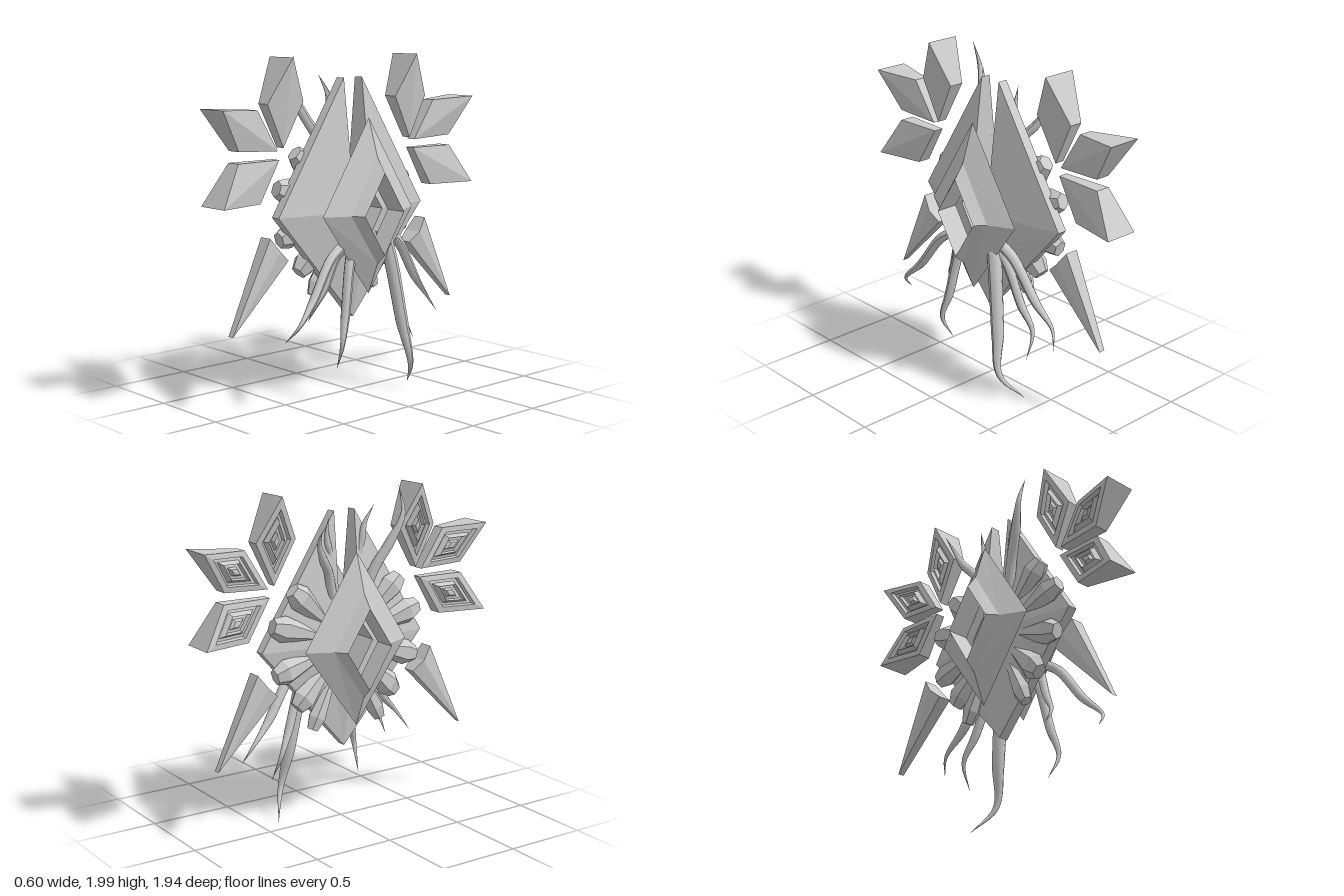
import * as THREE from 'three';

const V = (x, y, z) => new THREE.Vector3(x, y, z);
const flatGrey = () => new THREE.MeshStandardMaterial({ color: 0xcccccc, flatShading: true });

function addMesh(parent, name, geometry, material) {
  const mesh = new THREE.Mesh(geometry, material);
  mesh.name = name;
  parent.add(mesh);
  return mesh;
}

// Faceted solid through a list of equal point rings; closed loop or capped ends
function loft(rings, closed = false) {
  const tris = [], n = rings[0].length, count = closed ? rings.length : rings.length - 1;
  for (let i = 0; i < count; i++) {
    const a = rings[i], b = rings[(i + 1) % rings.length];
    for (let j = 0; j < n; j++) {
      const k = (j + 1) % n;
      tris.push([a[j], b[j], b[k]], [a[j], b[k], a[k]]);
    }
  }
  if (!closed) {
    const a = rings[0], b = rings[rings.length - 1];
    for (let j = 1; j < n - 1; j++) tris.push([a[0], a[j], a[j + 1]], [b[0], b[j + 1], b[j]]);
  }
  // Turn all faces outward using the signed volume
  const volume = tris.reduce((s, [a, b, c]) => s + a.dot(b.clone().cross(c)), 0);
  if (volume < 0) tris.forEach((t) => t.reverse());
  const geometry = new THREE.BufferGeometry().setFromPoints(tris.flat());
  geometry.computeVertexNormals();
  return geometry;
}

// Carved shard: a parallelogram from its tip, one side corner and inner end [z, y],
// thick at the tip and thin at the inner end, with nested recesses on the back
function carvedShard(tip, sideCorner, inner, mirror) {
  const mid = [0, 1].map((i) => (tip[i] + inner[i]) / 2);
  const opposite = [0, 1].map((i) => 2 * mid[i] - sideCorner[i]);
  const thickness = [0.104, 0.04, 0.03, 0.045];
  const ring = (scale, sign, depth) => [tip, sideCorner, inner, opposite].map(([z, y], i) => {
    const half = 0.067 + (thickness[i] - 0.067) * scale;
    return V(-0.038 + sign * (half - depth), mid[1] + (y - mid[1]) * scale, (mid[0] + (z - mid[0]) * scale) * mirror);
  });
  const rings = [ring(1, 1, 0), ring(1, -1, 0)];
  for (const outer of [0.72, 0.4]) {
    rings.push(ring(outer, -1, 0), ring(outer - 0.04, -1, 0.03), ring(outer - 0.18, -1, 0.03));
  }
  rings.push(ring(0.14, -1, 0.01));
  return loft(rings);
}

// Smooth tendril from root over a shoulder to a knee, then kinking to a pointed tip
function tendrilGeometry(radius, root, knee, tip) {
  const [a, b, c] = [root, knee, tip].map((p) => V(...p));
  const shoulder = a.clone().lerp(b, 0.3).add(V(0, 0.05, 0));
  const curve = new THREE.CatmullRomCurve3([a, shoulder, a.clone().lerp(b, 0.7), b, c]);
  const steps = 28, sides = 10;
  const geometry = new THREE.TubeGeometry(curve, steps, radius, sides);
  const pos = geometry.attributes.position, p = V();
  for (let i = 0; i <= steps; i++) {
    const t = i / steps, centre = curve.getPointAt(t);
    const k = Math.max(0.02, t < 0.55 ? 1 - 0.25 * t : 0.86 * (1 - (t - 0.55) / 0.45));
    for (let j = 0; j <= sides; j++) {
      const id = i * (sides + 1) + j;
      p.fromBufferAttribute(pos, id).sub(centre).multiplyScalar(k).add(centre);
      pos.setXYZ(id, p.x, p.y, p.z);
    }
  }
  geometry.computeVertexNormals();
  return geometry;
}

export function createModel() {
  const model = new THREE.Group();
  model.name = 'crystalGuardian';

  // Body: diamond plate, thick round its hole, thin at the rim, split at the top
  const bodySections = [
    [0.07, 1.87, 0.07, 1.23], [0.56, 1.1, 0.16, 1.1], [0, 0.46, 0, 0.84],
    [-0.56, 1.1, -0.16, 1.1], [-0.07, 1.87, -0.07, 1.23],
  ].map(([oz, oy, iz, iy]) => [V(0.025, oy, oz), V(-0.035, oy, oz), V(-0.1, iy, iz), V(0.105, iy, iz)]);
  addMesh(model, 'body', loft(bodySections), flatGrey());

  // Bevelled diamond frames on both faces: [x, up, down, sideways]
  const frameProfile = [
    [0.16, 0.545, 0.48, 0.35], [0.235, 0.32, 0.3, 0.2],
    [0.298, 0.235, 0.24, 0.152], [0.16, 0.235, 0.24, 0.152],
  ];
  for (const side of [1, -1]) {
    const corner = (place) => frameProfile.map(([x, up, down, w]) => V(x * side, ...place(up, down, w)));
    const sections = [
      corner((up) => [1.1 + up, 0]), corner((up, down, w) => [1.1, w]),
      corner((up, down) => [1.1 - down, 0]), corner((up, down, w) => [1.1, -w]),
    ];
    addMesh(model, side > 0 ? 'leftFrame' : 'rightFrame', loft(sections, true), flatGrey());
  }

  for (const side of [1, -1]) {
    // Floating shards, front and rear
    addMesh(model, 'topShard', carvedShard([0.48, 1.995], [0.615, 1.74], [0.495, 1.49], side), flatGrey());
    addMesh(model, 'upperShard', carvedShard([0.97, 1.725], [0.685, 1.71], [0.535, 1.475], side), flatGrey());
    addMesh(model, 'middleShard', carvedShard([0.97, 1.19], [0.67, 1.19], [0.525, 1.425], side), flatGrey());

    // Plain dagger shard pointing down: [z, y, half thickness]
    const dagger = [[0.865, 0.46, 0.02], [0.61, 0.99, 0.042], [0.55, 0.91, 0.06], [0.48, 0.85, 0.042]];
    const daggerFaces = [1, -1].map((s) => dagger.map(([z, y, h]) => V(-0.03 + s * h, y, z * side)));
    addMesh(model, 'lowerShard', loft(daggerFaces), flatGrey());

    // Gem spikes fanning out over the back of the body: [angle, outer radius, width]
    for (const [angle, r, w] of [[43, 0.51, 1], [17, 0.53, 1], [-16, 0.51, 1], [-45, 0.49, 1], [-64, 0.55, 0.75]]) {
      const profile = [[0, 0.3], [0.025, 0.36], [0.078, 0.86], [0.05, 1], [0, 1]]
        .map(([x, t]) => new THREE.Vector2(x * w, t * r));
      const gem = addMesh(model, 'gemSpike', new THREE.LatheGeometry(profile, 6), flatGrey());
      gem.scale.x = 0.85;
      gem.position.set(-0.06, 1.1, 0);
      gem.rotation.x = side * THREE.MathUtils.degToRad(90 - angle);
    }
  }

  // Tendrils hanging on the left face: radius, root, knee, tip
  const hanging = [
    [0.03, [0.13, 0.92, 0.17], [0.21, 0.51, 0.57], [0.13, 0.41, 0.61]],
    [0.027, [0.12, 0.9, 0.14], [0.06, 0.57, 0.32], [0, 0.47, 0.33]],
    [0.032, [0.13, 0.9, 0.1], [0.2, 0.35, 0.24], [0.13, 0.2, 0.22]],
    [0.044, [0.13, 0.98, -0.14], [0.22, 0.17, -0.29], [0.1, 0.01, -0.38]],
    [0.03, [0.13, 0.95, -0.15], [0.05, 0.43, -0.39], [0.12, 0.28, -0.41]],
    [0.033, [0.13, 0.97, -0.17], [0.07, 0.52, -0.57], [0.11, 0.42, -0.62]],
  ];
  // Tendrils rising behind the right face
  const rising = [
    [0.034, [-0.06, 1.3, 0.1], [-0.18, 1.84, 0.31], [-0.13, 2, 0.315]],
    [0.03, [-0.06, 1.38, -0.1], [-0.17, 1.72, -0.26], [-0.23, 1.8, -0.275]],
    [0.026, [-0.03, 1.5, 0.09], [-0.05, 1.78, 0.13], [-0.08, 1.89, 0.175]],
    [0.024, [-0.03, 1.5, -0.09], [-0.05, 1.75, -0.13], [-0.07, 1.84, -0.13]],
  ];
  for (const [name, list] of [['hangingTendril', hanging], ['risingTendril', rising]]) {
    for (const tendril of list) {
      addMesh(model, name, tendrilGeometry(...tendril), new THREE.MeshStandardMaterial({ color: 0xcccccc }));
    }
  }

  return model;
}
